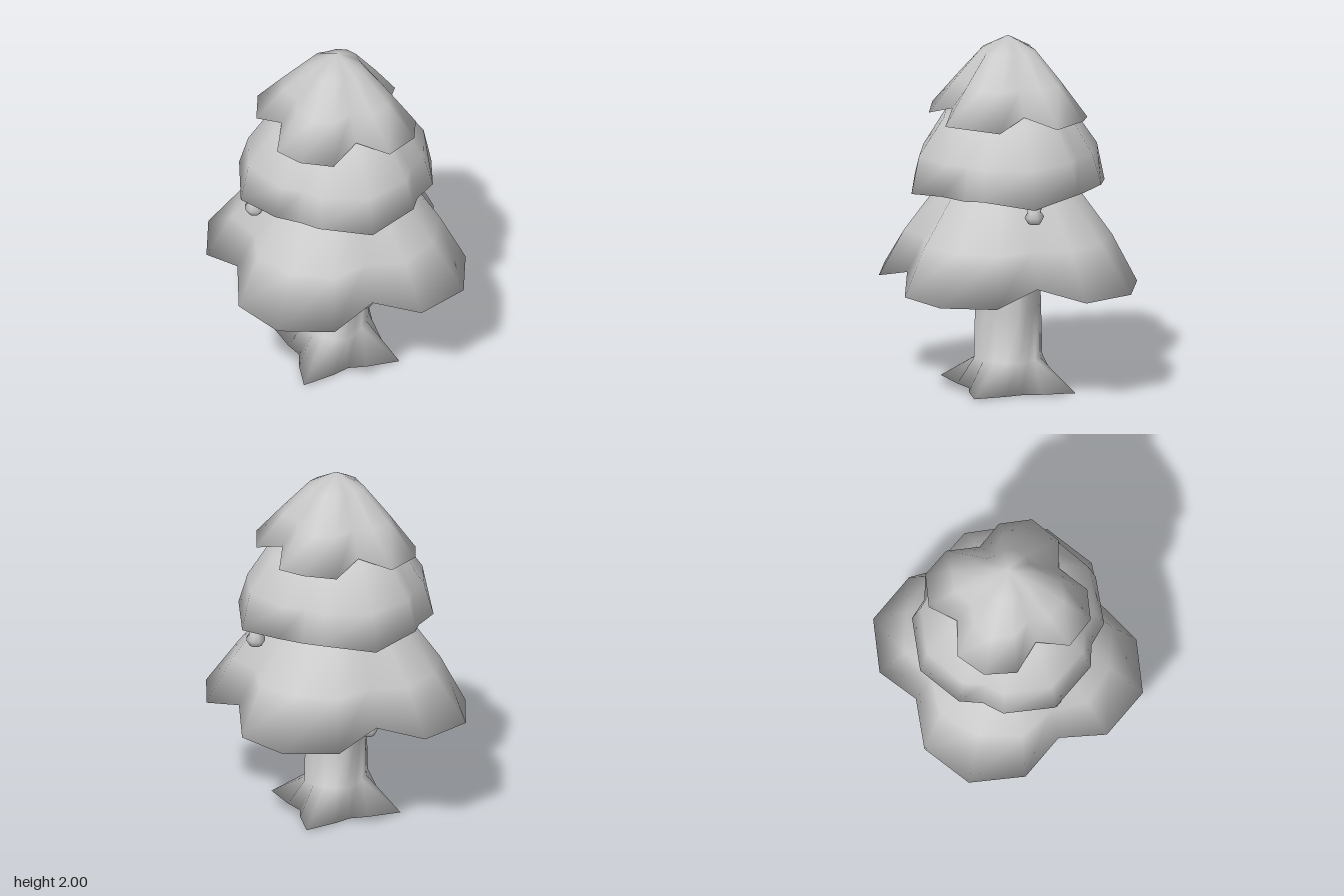
import * as THREE from 'three';
import { mergeVertices } from 'three/addons/utils/BufferGeometryUtils.js';

const material = new THREE.MeshStandardMaterial({ color: 0xcccccc, side: THREE.DoubleSide });

// Four-lobed skin through rings of 16 points, listed from the underside up.
// Each ring: [lobe radius, lobe y, side radius, side y, valley radius, valley y].
function lobedSkin(name, rings, { sideAngle = 24, turn = 0, scaleX = 1, scaleZ = 1 } = {}) {
  const positions = [];
  const index = [];
  for (const [rLobe, yLobe, rSide, ySide, rValley, yValley] of rings) {
    for (let lobe = 0; lobe < 4; lobe++) {
      const points = [
        [0, rLobe, yLobe],
        [sideAngle, rSide, ySide],
        [45, rValley, yValley],
        [90 - sideAngle, rSide, ySide],
      ];
      for (const [angle, r, y] of points) {
        const a = THREE.MathUtils.degToRad(angle + lobe * 90 + turn);
        positions.push(r * Math.sin(a) * scaleX, y, r * Math.cos(a) * scaleZ);
      }
    }
  }
  for (let i = 0; i < rings.length - 1; i++) {
    for (let j = 0; j < 16; j++) {
      const a = i * 16 + j, b = i * 16 + (j + 1) % 16;
      if (rings[i][0] > 0) index.push(a, b, b + 16);
      if (rings[i + 1][0] > 0) index.push(a, b + 16, a + 16);
    }
  }
  let geometry = new THREE.BufferGeometry();
  geometry.setAttribute('position', new THREE.Float32BufferAttribute(positions, 3));
  geometry.setIndex(index);
  geometry = mergeVertices(geometry, 1e-5);
  geometry.computeVertexNormals();
  const mesh = new THREE.Mesh(geometry, material);
  mesh.name = name;
  return mesh;
}

// Ring with the same height all round
const level = (y, lobe, side, valley) => [lobe, y, side, y, valley, y];

export function createModel() {
  const group = new THREE.Group();
  group.name = 'tree';

  // Trunk with four pointed roots
  group.add(lobedSkin('trunk', [
    level(0.01, 0, 0, 0),
    [0.385, 0.01, 0.26, 0.005, 0.21, 0],
    level(0.17, 0.155, 0.162, 0.185),
    level(0.45, 0.148, 0.158, 0.178),
    level(0.8, 0.14, 0.15, 0.17),
  ], { scaleZ: 1.1 }));

  // Lower branches, lobes on the axes
  group.add(lobedSkin('lowerBranches', [
    level(0.71, 0.1, 0.1, 0.1),
    level(0.71, 0.46, 0.46, 0.43),
    [0.775, 0.615, 0.715, 0.615, 0.58, 0.69],
    level(0.88, 0.585, 0.575, 0.48),
    level(1.14, 0.38, 0.385, 0.37),
    level(1.22, 0.25, 0.25, 0.25),
  ]));

  // Middle branches, lobes on the diagonals
  group.add(lobedSkin('middleBranches', [
    level(1.17, 0.15, 0.15, 0.15),
    level(1.17, 0.42, 0.41, 0.4),
    [0.56, 1.135, 0.54, 1.18, 0.49, 1.16],
    level(1.35, 0.515, 0.49, 0.45),
    level(1.56, 0.37, 0.36, 0.33),
    level(1.64, 0.2, 0.2, 0.2),
  ], { sideAngle: 31, turn: 45, scaleX: 1.01, scaleZ: 0.98 }));

  // Crown, lobes on the axes
  group.add(lobedSkin('topBranches', [
    level(1.62, 0.1, 0.1, 0.1),
    level(1.62, 0.28, 0.28, 0.25),
    [0.475, 1.565, 0.44, 1.545, 0.32, 1.605],
    level(1.74, 0.32, 0.295, 0.23),
    level(1.92, 0.155, 0.15, 0.135),
    level(2, 0, 0, 0),
  ], { sideAngle: 23 }));

  // Hanging baubles: two low on one diagonal, two high on the other
  const profile = [[0, 0], [0.035, 0.008], [0.056, 0.045], [0.038, 0.072], [0.042, 0.095], [0.025, 0.115], [0, 0.12]]
    .map(([r, y]) => new THREE.Vector2(r, y));
  const baubleGeometry = new THREE.LatheGeometry(profile, 8);
  for (const s of [1, -1]) {
    for (const [x, y] of [[0.335, 0.605], [-0.335, 1.035]]) {
      const bauble = new THREE.Mesh(baubleGeometry, material);
      bauble.name = 'bauble';
      bauble.position.set(s * x, y, s * 0.35);
      group.add(bauble);
    }
  }
  return group;
}
